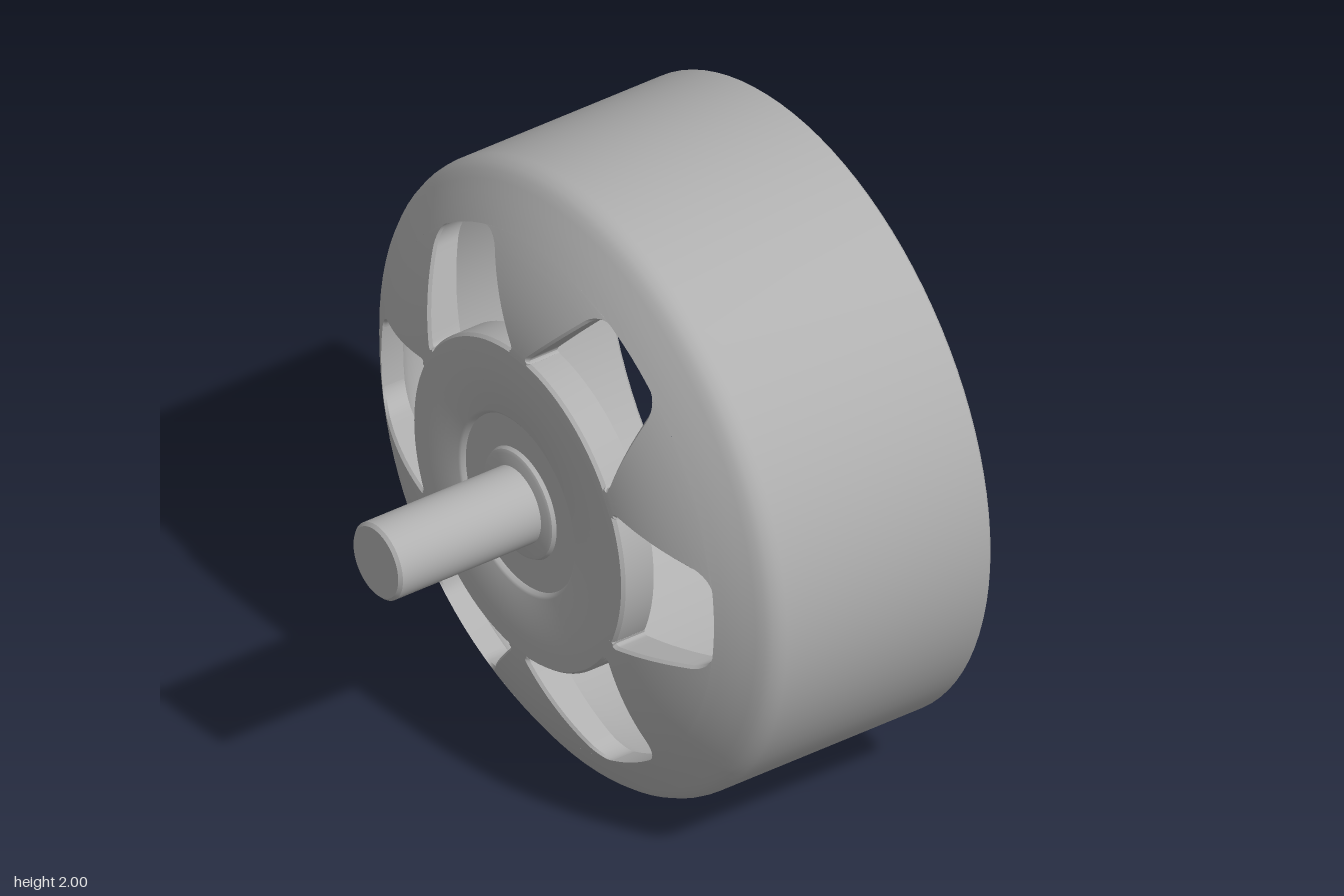
import * as THREE from 'three';
import { toCreasedNormals } from 'three/addons/utils/BufferGeometryUtils.js';

const HUB_R = 0.53, WINDOW_R = 0.84, SEGMENTS = 96;

// Height of the domed face, outside and inside, by radius
const frontZ = r => 0.245 - 0.73 * Math.max(0, r - 0.45) ** 2;
const backZ = r => 0.13 - 0.65 * Math.max(0, r - 0.5) ** 2;

// Lathe around z from [radius, z] pairs, with sharp edges kept
function turned(profile, segments = SEGMENTS) {
  const points = profile.map(([r, z]) => new THREE.Vector2(r, z));
  return new THREE.LatheGeometry(points, segments).rotateX(Math.PI / 2);
}

// Half angle of a window at a radius: straight tapering sides, rounded corners
function windowHalfAngle(r) {
  const round = (d, c) => c - Math.sqrt(Math.max(0, c * c - d * d));
  const s = Math.max(r, HUB_R);
  let w = Math.asin(0.34 / (s * 1.0239)) - Math.atan(0.22);
  if (s > 0.785) w -= round(s - 0.785, 0.055) / s;
  if (s < 0.55) w -= round(0.55 - s, 0.02) / s;
  return w;
}

// A spoke lofted outwards through closed cross-sections
function spokeGeometry() {
  const radii = [0.515, 0.53, 0.532, 0.536, 0.542, 0.55];
  for (let r = 0.58; r < 0.785; r += 0.03) radii.push(r);
  for (let k = 0; k <= 10; k++) radii.push(0.785 + 0.055 * Math.sin(k * Math.PI / 20));
  const cols = 12, bevel = 0.01, positions = [], index = [];
  const ringSize = 2 * (cols + 1) + 2;
  for (const r of radii) {
    const a = Math.PI / 6 - windowHalfAngle(r), f = frontZ(r), b = backZ(r);
    const put = (angle, z) => positions.push(r * Math.cos(angle), r * Math.sin(angle), z);
    for (let j = 0; j <= cols; j++) put((a - bevel / r) * (2 * j / cols - 1), f);
    put(a, f - bevel);
    for (let j = 0; j <= cols; j++) put(a * (1 - 2 * j / cols), b);
    put(-a, f - bevel);
  }
  for (let i = 0; i < radii.length - 1; i++) {
    for (let j = 0; j < ringSize; j++) {
      const a = i * ringSize + j, b = i * ringSize + (j + 1) % ringSize;
      index.push(a, a + ringSize, b, a + ringSize, b + ringSize, b);
    }
  }
  const g = new THREE.BufferGeometry();
  g.setAttribute('position', new THREE.Float32BufferAttribute(positions, 3));
  g.setIndex(index);
  return g;
}

export function createModel() {
  const model = new THREE.Group();
  model.name = 'motorBell';
  const metal = new THREE.MeshStandardMaterial({ color: 0xb0b0b0 });
  metal.name = 'grey metal';
  const add = (name, geometry, parent = model) => {
    const mesh = new THREE.Mesh(toCreasedNormals(geometry, 0.6), metal);
    mesh.name = name;
    parent.add(mesh);
    return mesh;
  };

  // Outer shell: drum wall, rounded shoulder and the dome outside the windows
  const dome = [0.95, 0.92, 0.89, 0.865, WINDOW_R];
  add('shell', turned([
    [0.945, -0.75], [0.992, -0.75], [1, -0.742], [1, -0.015], [0.997, 0.005],
    [0.988, 0.027], [0.973, 0.046],
    ...dome.map(r => [r, frontZ(r)]),
    [WINDOW_R, backZ(WINDOW_R)], [0.865, 0.036], [0.89, 0.006], [0.912, -0.03],
    [0.928, -0.075], [0.935, -0.13], [0.935, -0.74], [0.945, -0.75],
  ]));

  // Hub disc with a shallow ring recess and a raised collar
  add('hub', turned([
    [0, 0.13], [HUB_R, 0.13], [HUB_R, frontZ(HUB_R) - 0.01], [0.522, frontZ(0.522)],
    [0.49, frontZ(0.49)], [0.45, 0.245], [0.295, 0.245], [0.287, 0.24], [0.28, 0.228],
    [0.178, 0.228], [0.172, 0.24], [0.162, 0.245], [0, 0.245],
  ]));

  // Six spokes between the windows
  const spokes = new THREE.Group();
  spokes.name = 'spokes';
  model.add(spokes);
  const spoke = spokeGeometry();
  for (let k = 0; k < 6; k++) {
    add('spoke', spoke, spokes).rotation.z = Math.PI / 6 + k * Math.PI / 3;
  }

  // Shaft with a flat ground into its right side
  const shaftProfile = [
    [0.123, 0.2], [0.123, 0.43], [0.123, 0.43], [0.123, 0.65], [0.123, 0.65],
    [0.123, 0.74], [0.113, 0.75], [0, 0.75],
  ];
  const shaft = turned(shaftProfile, 64);
  const p = shaft.attributes.position;
  for (let i = 0; i < p.count; i++) {
    const row = i % shaftProfile.length;
    if (row === 2 || row === 3) p.setX(i, Math.max(p.getX(i), -0.108));
  }
  add('shaft', shaft);

  model.children.forEach(part => { part.position.y = 1; });
  return model;
}
